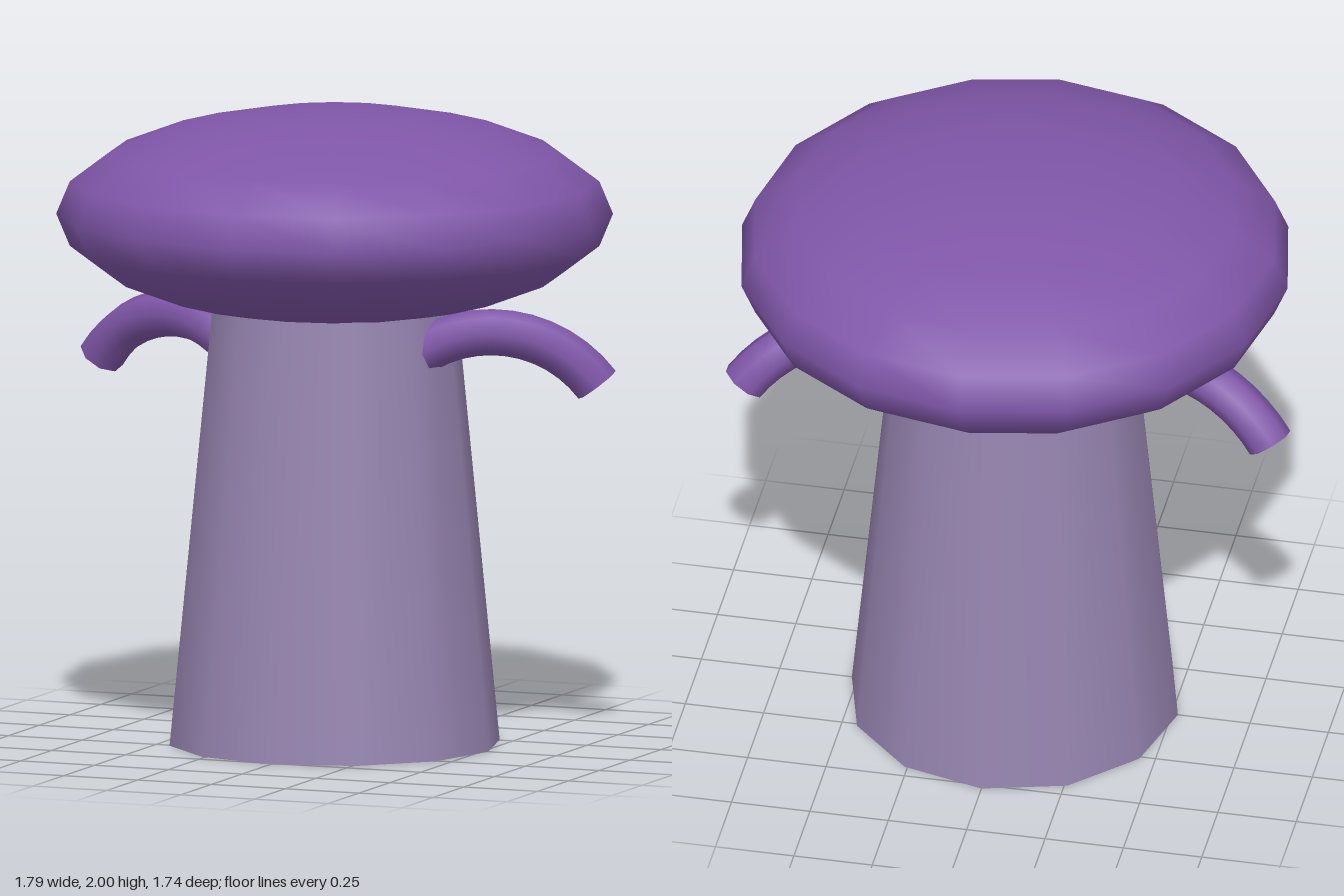
import * as THREE from 'three';

export function createModel() {
  const model = new THREE.Group();
  const purple = new THREE.MeshStandardMaterial({ color: 0x7f56a8 });
  const lilac = new THREE.MeshStandardMaterial({ color: 0x9684b0 });
  const openPurple = new THREE.MeshStandardMaterial({ color: 0x7f56a8, side: THREE.DoubleSide });

  const add = (name, geometry, material, x, y, z) => {
    const mesh = new THREE.Mesh(geometry, material);
    mesh.name = name;
    mesh.position.set(x, y, z);
    model.add(mesh);
    return mesh;
  };

  // Tapered stem, its top hidden inside the cap
  const stemHeight = 1.5;
  add('stem', new THREE.CylinderGeometry(0.373, 0.52, stemHeight, 12), lilac, 0, stemHeight / 2, 0);

  // Flattened round cap
  const capGeometry = new THREE.SphereGeometry(0.87, 16, 10);
  capGeometry.scale(1, 0.33 / 0.87, 1);
  add('cap', capGeometry, purple, 0, 1.67, 0);

  // Drooping hollow arms: quarter rings swept slightly backwards
  const armStart = THREE.MathUtils.degToRad(37);
  const armGeometry = new THREE.TorusGeometry(0.415, 0.073, 8, 12, Math.PI / 2);
  armGeometry.rotateZ(armStart);
  const sweep = 0.37;
  for (const side of [1, -1]) {
    const arm = add(side > 0 ? 'leftArm' : 'rightArm', armGeometry, openPurple, side * 0.53, 0.91, 0);
    arm.rotation.y = side > 0 ? sweep : Math.PI - sweep;
  }

  return model;
}
